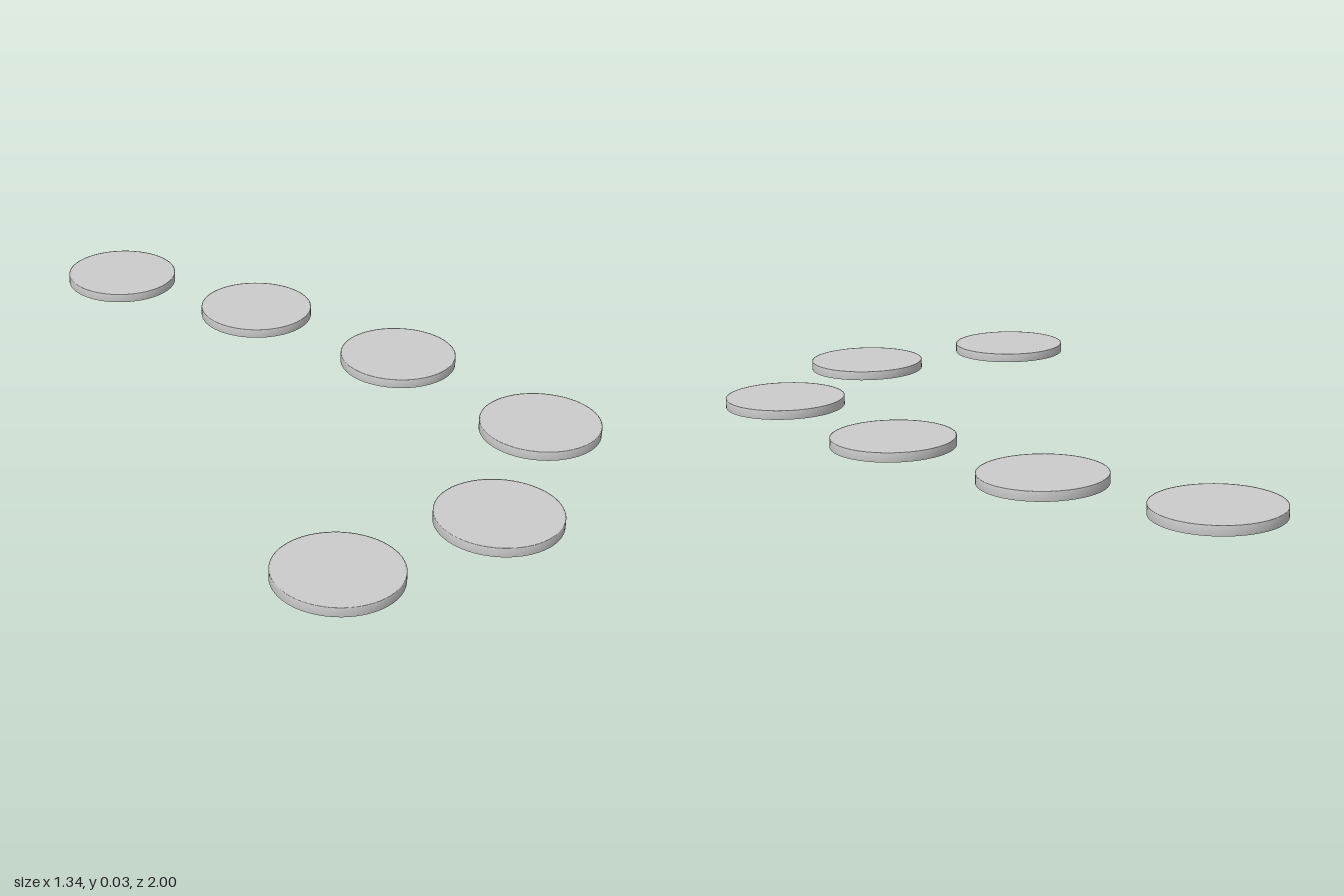
import * as THREE from 'three';

const RADIUS = 0.164, HEIGHT = 0.025, RIM = 0.003;

// Disc centres (x, z), following the hooked path from back to front
const CENTRES = [
  [0.443, -0.836], [0.508, -0.36], [0.508, 0.152],
  [0.407, 0.68], [-0.058, 0.836], [-0.508, 0.668],
];

// Thin disc: flat faces with the shading softened around the rim
function discGeometry() {
  const profile = [
    [0, 0], [RADIUS - RIM, 0], [RADIUS, 0],
    [RADIUS, HEIGHT], [RADIUS - RIM, HEIGHT], [0, HEIGHT],
  ].map(([x, y]) => new THREE.Vector2(x, y));
  return new THREE.LatheGeometry(profile, 64);
}

export function createModel() {
  const group = new THREE.Group();
  group.name = 'steppingDiscs';
  const geometry = discGeometry();
  const material = new THREE.MeshStandardMaterial({ color: 0xcccccc });
  CENTRES.forEach(([x, z], i) => {
    const disc = new THREE.Mesh(geometry, material);
    disc.name = `disc${i + 1}`;
    disc.position.set(x, 0, z);
    group.add(disc);
  });
  return group;
}
